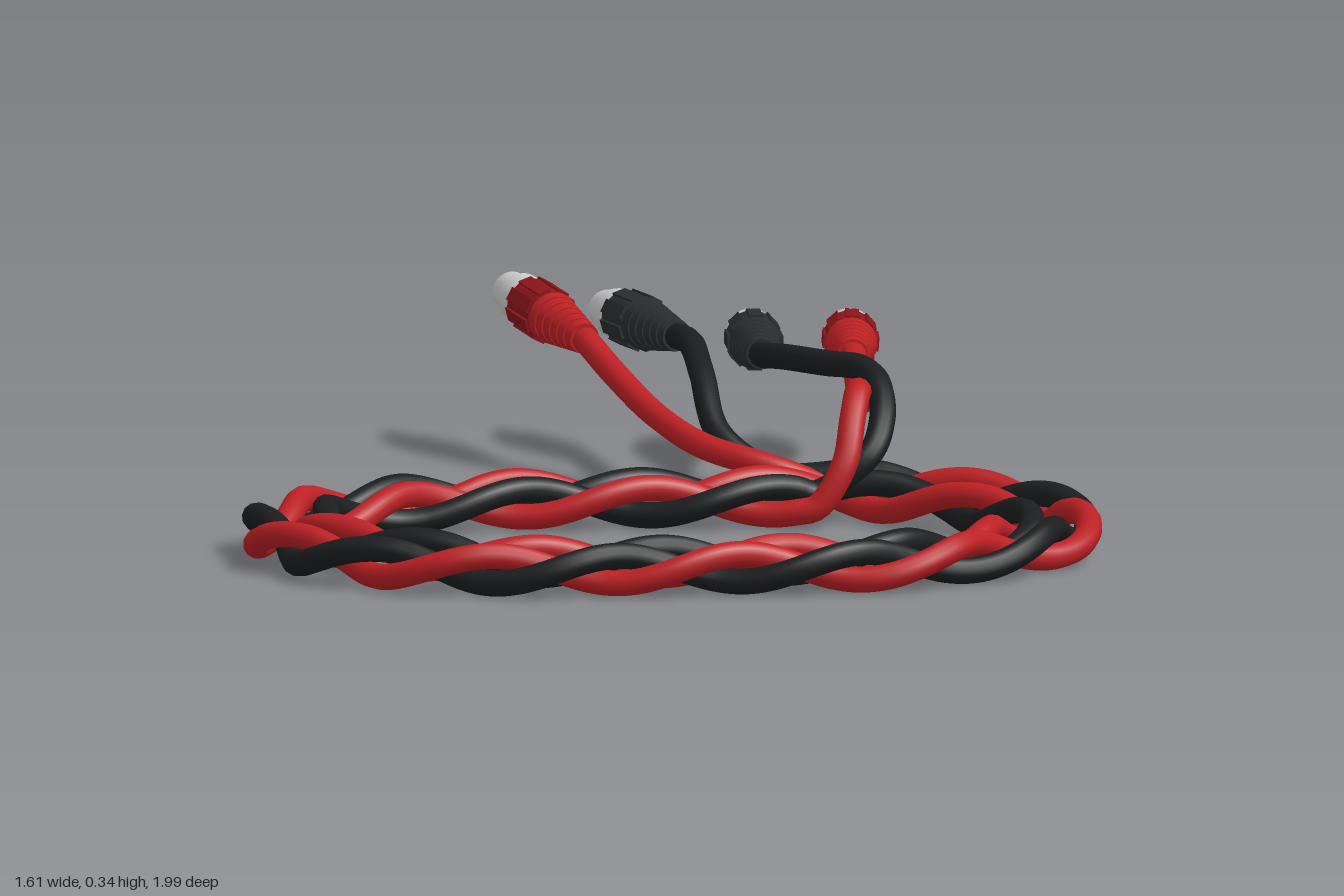
import * as THREE from 'three';

const CABLE_R = 0.0245, TWIST_R = 0.0255, PITCH = 0.46, LOOP_Y = 0.063;
const V = (x, y, z) => new THREE.Vector3(x, y, z);
const mat = (color) => new THREE.MeshStandardMaterial({ color, side: THREE.DoubleSide });

const mats = {
  red: { cable: mat(0xbc2024), grip: mat(0x8c151a) },
  black: { cable: mat(0x1b1d1e), grip: mat(0x2a2c2f) },
  white: mat(0xdedede),
  metal: mat(0xb4b4b4),
};

// Centre line of the coil (x, z): outer turn first, then inner turn
const coil = [
  [0.4, -0.05], [0.56, 0.055], [0.69, 0.21], [0.755, 0.4], [0.72, 0.64], [0.56, 0.82], [0.35, 0.935],
  [0, 0.945], [-0.34, 0.935], [-0.525, 0.865], [-0.69, 0.69], [-0.755, 0.5], [-0.74, 0.32], [-0.6, 0.135],
  [-0.34, 0.025], [0, 0.025], [0.27, 0.03], [0.43, 0.11], [0.56, 0.24], [0.65, 0.4], [0.645, 0.53],
  [0.56, 0.69], [0.4, 0.815], [0.19, 0.85], [-0.18, 0.845], [-0.39, 0.8], [-0.55, 0.66], [-0.655, 0.48],
  [-0.62, 0.29], [-0.47, 0.16], [-0.18, 0.115], [0.13, 0.13], [0.3, 0.13],
];

// Plugs: base of the strain relief and tip of the pin
const plugs = {
  redA: [V(-0.066, 0.265, -0.57), V(-0.19, 0.315, -0.945)],
  blackA: [V(0.11, 0.262, -0.605), V(-0.01, 0.265, -0.995)],
  redB: [V(0.427, 0.24, -0.49), V(0.455, 0.235, -0.885)],
  blackB: [V(0.257, 0.242, -0.5), V(0.267, 0.235, -0.9)],
};

// Free cable ends, start listed from the plug, end listed towards the plug
const tails = {
  redA: [V(-0.02, 0.215, -0.45), V(0.045, 0.16, -0.27), V(0.12, 0.125, -0.13), V(0.24, 0.095, -0.055)],
  blackA: [V(0.125, 0.265, -0.5), V(0.128, 0.235, -0.31), V(0.15, 0.14, -0.16), V(0.25, 0.08, -0.085)],
  redB: [V(0.35, 0.13, 0.145), V(0.37, 0.21, 0.1), V(0.385, 0.252, 0.04), V(0.4, 0.215, -0.07),
    V(0.41, 0.215, -0.2), V(0.422, 0.235, -0.4)],
  blackB: [V(0.4, 0.14, 0.1), V(0.43, 0.2, 0.05), V(0.43, 0.255, -0.03), V(0.405, 0.275, -0.1),
    V(0.35, 0.272, -0.18), V(0.285, 0.265, -0.31), V(0.26, 0.25, -0.43)],
};

// Points of one strand twisting round the coil centre line
function helixPoints(offset) {
  const centre = new THREE.CatmullRomCurve3(coil.map(([x, z]) => V(x, LOOP_Y, z)));
  centre.arcLengthDivisions = 1500;
  const length = centre.getLength(), n = 200, up = V(0, 1, 0), out = [];
  for (let i = 0; i <= n; i++) {
    const a = 2 * Math.PI * ((i / n) * length - 0.57) / PITCH + offset;
    const side = up.clone().cross(centre.getTangentAt(i / n)).normalize();
    out.push(centre.getPointAt(i / n)
      .addScaledVector(side, Math.cos(a) * TWIST_R)
      .addScaledVector(up, -Math.sin(a) * TWIST_R));
  }
  return out;
}

function cable(name, offset) {
  const [a, b] = [name + 'A', name + 'B'];
  const curve = new THREE.CatmullRomCurve3([
    plugs[a][0], ...tails[a], ...helixPoints(offset), ...tails[b], plugs[b][0],
  ]);
  curve.arcLengthDivisions = 4000;
  const mesh = new THREE.Mesh(new THREE.TubeGeometry(curve, 800, CABLE_R, 12), mats[name].cable);
  mesh.name = name + 'Cable';
  return mesh;
}

// Plug built along +y from the strain relief to the pin
function plug(name, [base, tip]) {
  const g = new THREE.Group();
  const add = (part, geo, material, y = 0) => {
    const m = new THREE.Mesh(geo, material);
    m.name = part;
    m.position.y = y;
    g.add(m);
    return m;
  };
  const { cable: soft, grip } = mats[name];

  // Strain relief: tapered rings on a slim core
  add('strainReliefCore', new THREE.CylinderGeometry(0.009, 0.009, 0.16, 8), grip, 0.08);
  for (let i = 0; i < 6; i++) {
    const r = 0.029 + i * 0.0034;
    add('strainReliefRing', new THREE.CylinderGeometry(r + 0.003, r, 0.0205, 20), name === 'red' ? soft : grip,
      0.011 + i * 0.0255);
  }

  // Grip with raised ribs
  const gripProfile = [[0, 0.15], [0.044, 0.15], [0.049, 0.157], [0.049, 0.248], [0.045, 0.254], [0, 0.254]];
  add('grip', new THREE.LatheGeometry(gripProfile.map(([r, y]) => new THREE.Vector2(r, y)), 24), grip);
  for (let i = 0; i < 8; i++) {
    const a = (i / 8) * Math.PI * 2;
    const rib = add('gripRib', new THREE.BoxGeometry(0.026, 0.092, 0.01), grip, 0.202);
    rib.position.x = Math.sin(a) * 0.047;
    rib.position.z = Math.cos(a) * 0.047;
    rib.rotation.y = a;
  }

  // Pale hollow shell
  const shellProfile = [[0.047, 0.252], [0.046, 0.296], [0.043, 0.306], [0.038, 0.316], [0.036, 0.345],
    [0.029, 0.345], [0.029, 0.315], [0, 0.315]];
  const shell = new THREE.LatheGeometry(shellProfile.map(([r, y]) => new THREE.Vector2(r, y)), 28);
  add('shell', shell, mats.white);

  // Centre pin with a rounded tip
  const pinProfile = [[0.011, 0.31], [0.011, 0.393], [0.007, 0.399], [0, 0.4]];
  add('pin', new THREE.LatheGeometry(pinProfile.map(([r, y]) => new THREE.Vector2(r, y)), 12), mats.metal);

  g.position.copy(base);
  g.quaternion.setFromUnitVectors(V(0, 1, 0), tip.clone().sub(base).normalize());
  g.name = name + 'Plug';
  return g;
}

export function createModel() {
  const model = new THREE.Group();
  model.name = 'twistedAudioCable';
  model.add(cable('black', 0), cable('red', Math.PI));
  for (const name of ['red', 'black']) {
    for (const end of ['A', 'B']) model.add(plug(name, plugs[name + end]));
  }
  return model;
}
